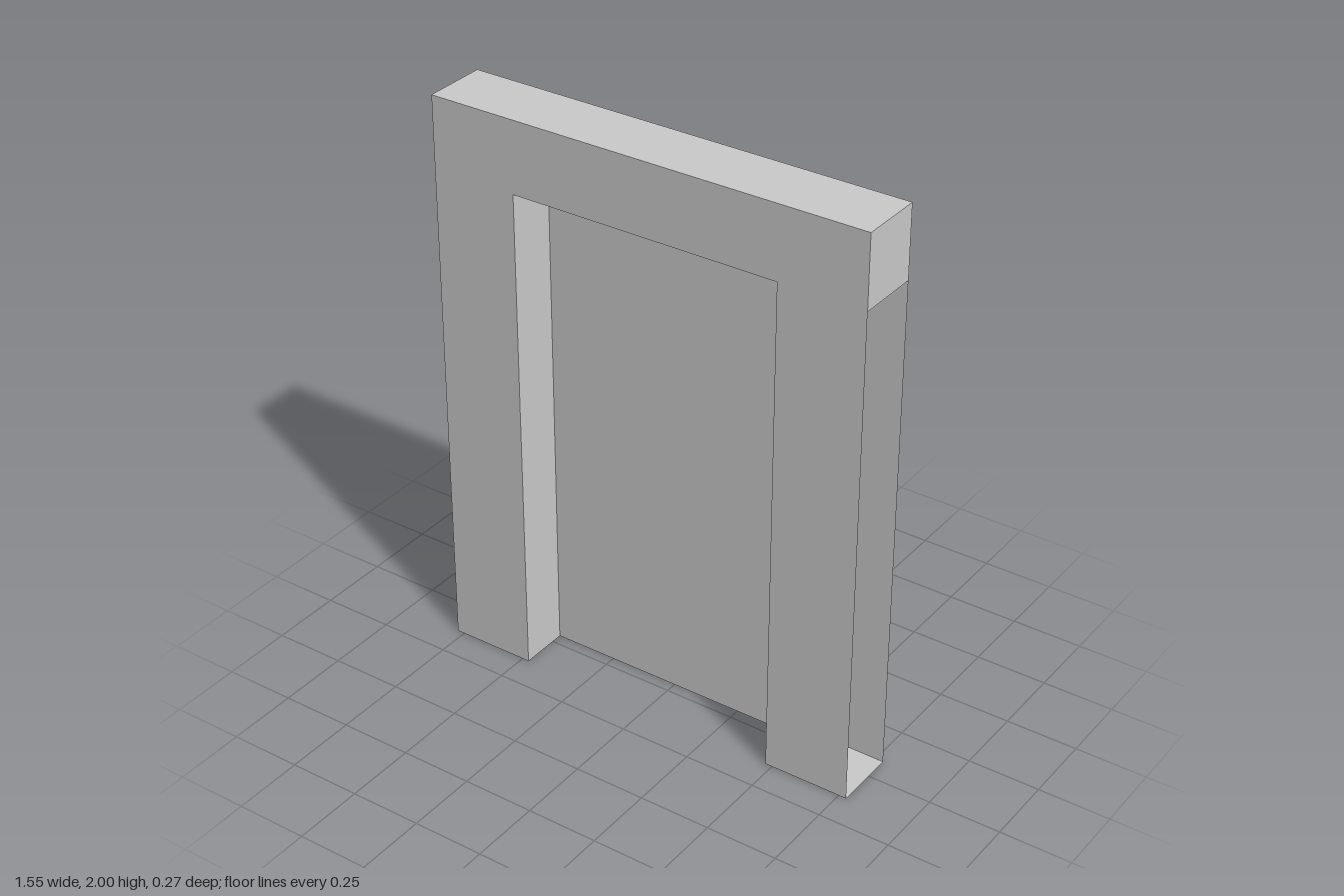
import * as THREE from 'three';

const W = 0.777, H = 2;               // wall half width and height
const OW = 0.475, OH = 1.75;          // doorway half width and height
const FRONT = 0.135, BACK = -0.088;   // wall faces
const DOOR = -0.04, PANEL = -0.052;   // door front, bottom of the panel recesses
const PW = 0.39;                      // door panel half width
const PANELS = [[0.08, 0.797], [0.957, 1.67]];

const material = new THREE.MeshStandardMaterial({ color: 0xcccccc, side: THREE.DoubleSide });

// A flat sheet of the given size, turned to face the direction of its normal
function sheet(name, normal, center, w, h) {
  const mesh = new THREE.Mesh(new THREE.PlaneGeometry(w, h), material);
  if (normal === 'left') mesh.rotation.y = Math.PI / 2;
  if (normal === 'right') mesh.rotation.y = -Math.PI / 2;
  if (normal === 'up') mesh.rotation.x = -Math.PI / 2;
  if (normal === 'down') mesh.rotation.x = Math.PI / 2;
  if (normal === 'back') mesh.rotation.y = Math.PI;
  mesh.position.set(...center);
  mesh.name = name;
  return mesh;
}

function polygon(points) {
  return points.map(([x, y]) => new THREE.Vector2(x, y));
}

function rectangle(w, y0, y1) {
  return polygon([[-w, y0], [w, y0], [w, y1], [-w, y1]]);
}

// Wall shell: hollow, with the lower left side open
function createWall() {
  const wall = new THREE.Group();
  wall.name = 'wall';
  const depth = FRONT - BACK, midZ = (FRONT + BACK) / 2;

  const frontShape = new THREE.Shape(polygon([
    [-W, 0], [-OW, 0], [-OW, OH], [OW, OH], [OW, 0], [W, 0], [W, H], [-W, H],
  ]));
  const front = new THREE.Mesh(new THREE.ShapeGeometry(frontShape), material);
  front.name = 'wallFront';
  front.position.z = FRONT;

  const backShape = new THREE.Shape(rectangle(W, 0, H));
  for (const [y0, y1] of PANELS) backShape.holes.push(new THREE.Path(rectangle(PW, y0, y1)));
  const back = new THREE.Mesh(new THREE.ShapeGeometry(backShape), material);
  back.name = 'wallBack';
  back.rotation.y = Math.PI;
  back.position.z = BACK;

  wall.add(
    front, back,
    sheet('wallTop', 'up', [0, H, midZ], 2 * W, depth),
    sheet('rightSide', 'right', [-W, H / 2, midZ], depth, H),
    sheet('leftSideUpper', 'left', [W, (H + OH) / 2, midZ], depth, H - OH),
  );
  for (const s of [-1, 1]) {
    wall.add(sheet('postBottom', 'down', [s * (W + OW) / 2, 0, midZ], W - OW, depth));
  }
  return wall;
}

// Doorway lining and the front and bottom of the door
function createDoorway() {
  const doorway = new THREE.Group();
  doorway.name = 'doorway';
  const depth = FRONT - DOOR, midZ = (FRONT + DOOR) / 2;
  doorway.add(
    sheet('doorFront', 'front', [0, OH / 2, DOOR], 2 * OW, OH),
    sheet('doorBottom', 'down', [0, 0, (DOOR + BACK) / 2], 2 * OW, DOOR - BACK),
    sheet('lintel', 'down', [0, OH, midZ], 2 * OW, depth),
    sheet('rightJamb', 'left', [-OW, OH / 2, midZ], depth, OH),
    sheet('leftJamb', 'right', [OW, OH / 2, midZ], depth, OH),
  );
  return doorway;
}

// Recessed panel in the back of the door
function createPanel(y0, y1) {
  const panel = new THREE.Group();
  panel.name = 'doorPanel';
  const midY = (y0 + y1) / 2, h = y1 - y0;
  const depth = PANEL - BACK, midZ = (PANEL + BACK) / 2;
  panel.add(
    sheet('panelFace', 'back', [0, midY, PANEL], 2 * PW, h),
    sheet('panelSill', 'up', [0, y0, midZ], 2 * PW, depth),
    sheet('panelHead', 'down', [0, y1, midZ], 2 * PW, depth),
    sheet('panelRightEdge', 'left', [-PW, midY, midZ], depth, h),
    sheet('panelLeftEdge', 'right', [PW, midY, midZ], depth, h),
  );
  return panel;
}

export function createModel() {
  const model = new THREE.Group();
  model.name = 'doorInWall';
  model.add(createWall(), createDoorway());
  for (const [y0, y1] of PANELS) model.add(createPanel(y0, y1));

  // Round knob on the back
  const length = 0.047;
  const knob = new THREE.Mesh(new THREE.CylinderGeometry(0.031, 0.031, length, 24), material);
  knob.name = 'knob';
  knob.rotation.x = Math.PI / 2;
  knob.position.set(-0.362, 0.886, BACK - length / 2);
  model.add(knob);
  return model;
}
